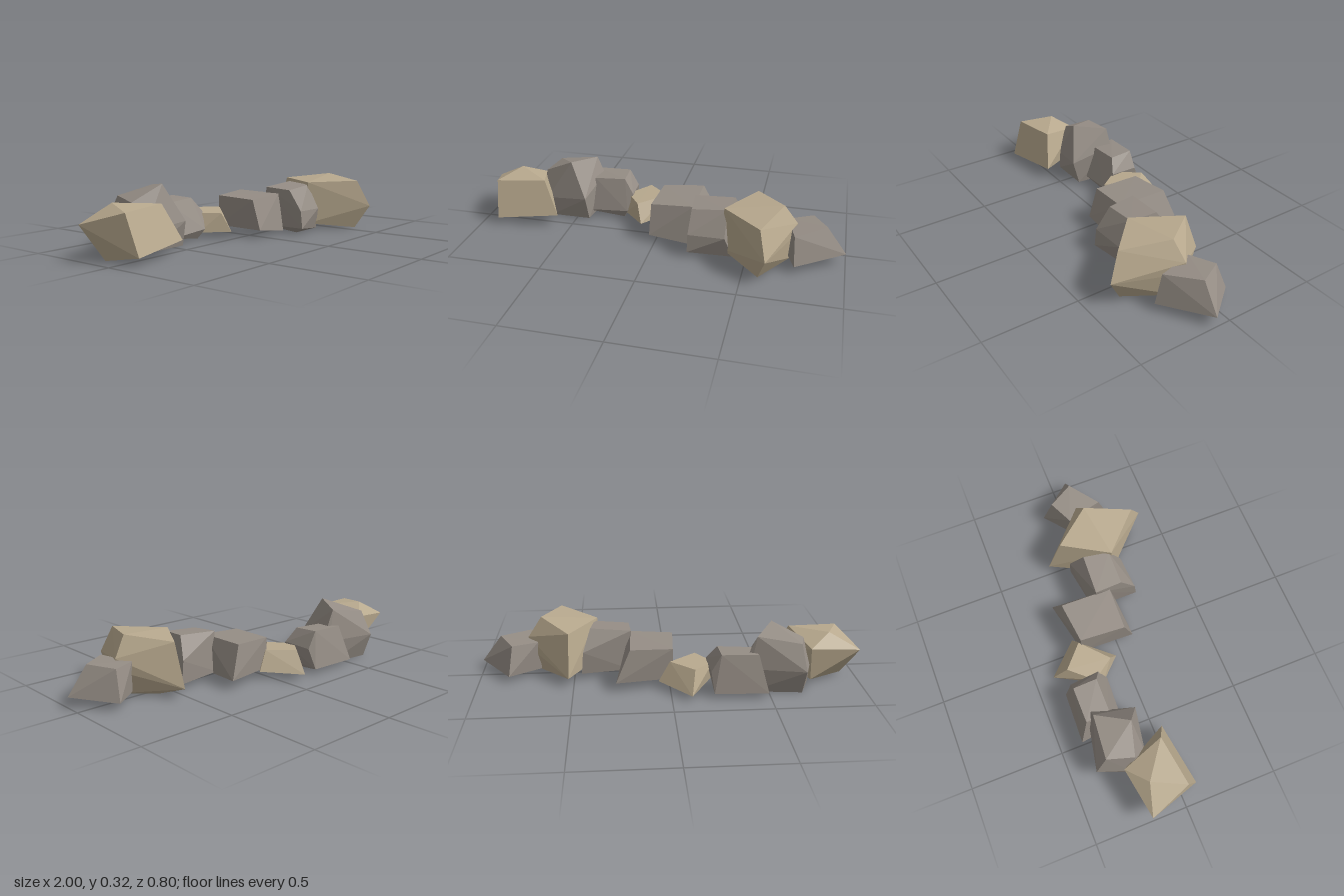
import * as THREE from 'three';
import { ConvexGeometry } from 'three/addons/geometries/ConvexGeometry.js';

const stone = new THREE.MeshStandardMaterial({ color: 0x958d85 });
stone.name = 'greyStone';
const sand = new THREE.MeshStandardMaterial({ color: 0xb8a98e });
sand.name = 'tanStone';

// A faceted boulder: the hull of its foot, waist and crown corners
function rock(name, material, { foot, waist = [], crown }) {
  const corners = [...foot, ...waist, ...crown].map((p) => new THREE.Vector3(...p));
  const mesh = new THREE.Mesh(new ConvexGeometry(corners), material);
  mesh.name = name;
  return mesh;
}

export function createModel() {
  const row = new THREE.Group();
  row.name = 'rockRow';

  row.add(
    // Tan boulder at the right end
    rock('endBoulder', sand, {
      foot: [[-0.905, 0.037, 0.093], [-0.57, 0.064, 0.04], [-0.93, 0.005, -0.1], [-0.74, 0.02, -0.22]],
      waist: [[-1, 0.17, -0.195], [-0.73, 0.2, -0.24]],
      crown: [[-0.92, 0.235, 0.025], [-0.655, 0.245, -0.013], [-0.84, 0.257, -0.15]],
    }),
    // Tallest grey boulder
    rock('tallBoulder', stone, {
      foot: [[-0.73, 0, -0.19], [-0.67, 0, -0.33], [-0.41, 0, -0.3], [-0.43, 0, -0.09], [-0.65, 0, -0.09]],
      waist: [[-0.735, 0.1, -0.2], [-0.68, 0.13, -0.37], [-0.4, 0.13, -0.31], [-0.44, 0.13, -0.06], [-0.68, 0.1, -0.1], [-0.39, 0.2, -0.29]],
      crown: [[-0.535, 0.32, -0.126], [-0.435, 0.298, -0.29], [-0.66, 0.26, -0.31], [-0.7, 0.24, -0.17]],
    }),
    // Grey block beside it
    rock('backBlock', stone, {
      foot: [[-0.46, 0.03, -0.14], [-0.215, 0.05, -0.13], [-0.24, 0, -0.16], [-0.215, 0.025, -0.37], [-0.49, 0.025, -0.38]],
      waist: [[-0.19, 0.14, -0.17], [-0.2, 0.13, -0.33]],
      crown: [[-0.42, 0.205, -0.2], [-0.245, 0.215, -0.2], [-0.25, 0.22, -0.33], [-0.44, 0.215, -0.33]],
    }),
    // Small low tan rock
    rock('smallRock', sand, {
      foot: [[-0.1, 0.03, -0.4], [0.06, 0.04, -0.23], [-0.11, 0.03, -0.035], [-0.23, 0.03, -0.16]],
      crown: [[-0.12, 0.14, -0.32], [0, 0.14, -0.21], [-0.14, 0.13, -0.08], [-0.225, 0.13, -0.2]],
    }),
    // Two grey blocks in the middle
    rock('middleBlock', stone, {
      foot: [[-0.03, 0.04, 0.095], [0.19, 0.01, 0.09], [0.28, 0.05, -0.265], [-0.02, 0.04, -0.2]],
      crown: [[-0.03, 0.2, 0.045], [0.2, 0.213, 0.05], [0.205, 0.215, -0.225], [-0.015, 0.205, -0.2]],
    }),
    rock('frontBlock', stone, {
      foot: [[0.2, 0.03, 0.21], [0.23, 0, 0.15], [0.43, 0, 0.15], [0.46, 0.03, -0.09], [0.2, 0.03, -0.05]],
      waist: [[0.2, 0.125, 0.2], [0.39, 0.12, 0.19], [0.45, 0.15, -0.09]],
      crown: [[0.195, 0.245, -0.03], [0.41, 0.26, -0.02], [0.39, 0.25, 0.12], [0.205, 0.235, 0.12]],
    }),
    // Largest tan boulder
    rock('largeBoulder', sand, {
      foot: [[0.58, 0, 0.32], [0.72, 0, 0.09], [0.57, 0, -0.05], [0.37, 0.03, 0.13], [0.525, 0.05, -0.195]],
      waist: [[0.617, 0.127, 0.395], [0.745, 0.19, 0.06], [0.745, 0.13, 0.06]],
      crown: [[0.375, 0.265, 0.13], [0.675, 0.293, 0.085], [0.52, 0.267, -0.115], [0.58, 0.27, 0.33]],
    }),
    // Grey wedge at the left end
    rock('endWedge', stone, {
      foot: [[0.75, 0.035, 0.24], [1, 0.053, 0.08], [0.84, 0.035, -0.115], [0.68, 0.02, 0.02], [0.82, 0.015, 0.05]],
      crown: [[0.74, 0.18, 0.195], [0.895, 0.193, 0.075], [0.82, 0.185, -0.06], [0.69, 0.18, 0]],
    }),
  );
  return row;
}
